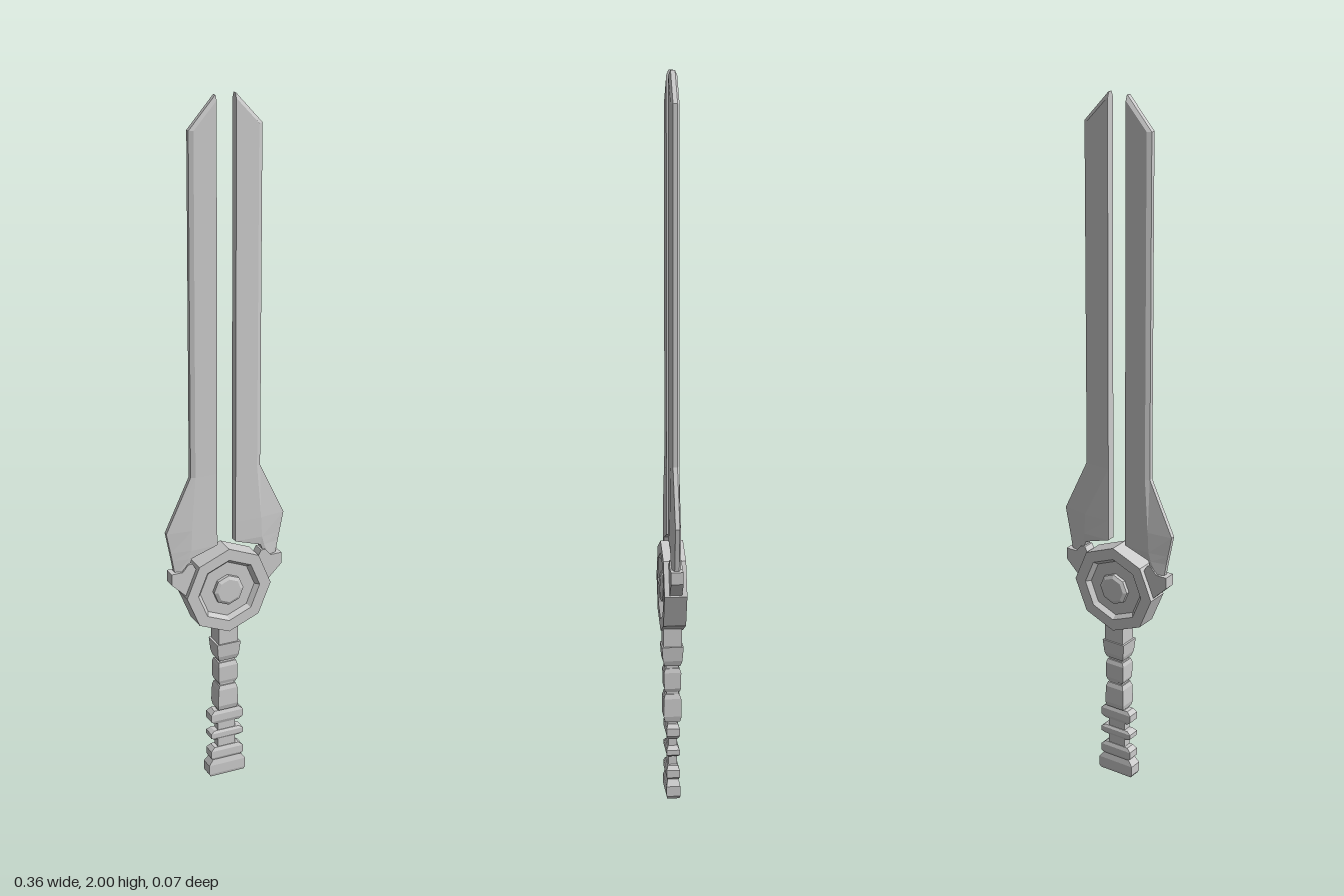
import * as THREE from 'three';

const material = new THREE.MeshStandardMaterial({ color: 0xcccccc, flatShading: true });

function part(parent, name, geometry) {
  const flat = geometry.index ? geometry.toNonIndexed() : geometry;
  flat.computeVertexNormals();
  const mesh = new THREE.Mesh(flat, material);
  mesh.name = name;
  parent.add(mesh);
  return mesh;
}

// Skin a stack of rings (each a list of [x, y, z], lowest first) and cap both ends.
function loft(rings) {
  const n = rings[0].length, last = rings.length - 1, out = [];
  const tri = (a, b, c) => out.push(...a, ...b, ...c);
  for (let i = 0; i < last; i++) {
    for (let j = 0; j < n; j++) {
      const k = (j + 1) % n;
      tri(rings[i][j], rings[i][k], rings[i + 1][k]);
      tri(rings[i][j], rings[i + 1][k], rings[i + 1][j]);
    }
  }
  for (let j = 1; j < n - 1; j++) {
    tri(rings[0][0], rings[0][j + 1], rings[0][j]);
    tri(rings[last][0], rings[last][j], rings[last][j + 1]);
  }
  const geometry = new THREE.BufferGeometry();
  geometry.setAttribute('position', new THREE.Float32BufferAttribute(out, 3));
  return geometry;
}

// Rectangular column from rows of [y, half width, half depth].
const column = rows => loft(rows.map(([y, w, d]) =>
  [[-w, y, d], [w, y, d], [w, y, -d], [-w, y, -d]]));

// Blade half from rows of [y, inner x, ridge x, outer x, inner z, ridge z, outer z].
const bladeHalf = rows => loft(rows.map(([y, xi, xm, xo, zi, zm, zo]) => [
  [xi, y, zi], [xm, y, zm], [xo, y, zo], [xo, y, -zo], [xm, y, -zm], [xi, y, -zi],
]));

export function createModel() {
  const sword = new THREE.Group();
  sword.name = 'sword';

  // Twin blades and the clips that hold them; each side is the other turned half round
  for (const [side, turn] of [['left', 0], ['right', Math.PI]]) {
    const half = new THREE.Group();
    half.name = side + 'Half';
    half.rotation.y = turn;
    sword.add(half);

    part(half, side + 'Blade', bladeHalf([
      [0.665, 0.122, 0.135, 0.153, 0.012, 0.012, 0.006],
      [0.71, 0.105, 0.115, 0.161, 0.012, 0.014, 0.006],
      [0.735, 0.028, 0.108, 0.166, 0.012, 0.015, 0.006],
      [0.795, 0.028, 0.105, 0.178, 0.012, 0.015, 0.006],
      [0.95, 0.028, 0.093, 0.105, 0.012, 0.012, 0.006],
      [1.915, 0.028, 0.093, 0.105, 0.012, 0.012, 0.006],
      [1.985, 0.028, 0.03, 0.043, 0.012, 0.012, 0.006],
      [2.0, 0.028, 0.029, 0.03, 0.006, 0.006, 0.006],
    ]));

    const clip = new THREE.Shape([
      [0.085, 0.60], [0.125, 0.60], [0.168, 0.642], [0.168, 0.675],
      [0.135, 0.675], [0.118, 0.695], [0.105, 0.695], [0.085, 0.66],
    ].map(p => new THREE.Vector2(...p)));
    const clipGeometry = new THREE.ExtrudeGeometry(clip, { depth: 0.034, bevelEnabled: false });
    part(half, side + 'Clip', clipGeometry.translate(0, 0, -0.017));
  }

  // Octagonal guard: rim, recess and raised hub, alike on front and back
  const face = [[0, 0.033], [0.035, 0.033], [0.045, 0.028], [0.045, 0.018],
    [0.083, 0.018], [0.094, 0.031], [0.128, 0.031]];
  const profile = [
    ...face.map(([r, z]) => new THREE.Vector2(r, -z)),
    ...face.map(([r, z]) => new THREE.Vector2(r, z)).reverse(),
  ];
  const guard = part(sword, 'guard', new THREE.LatheGeometry(profile, 8).rotateX(Math.PI / 2));
  guard.position.y = 0.597;

  // Neck and tapered grip blocks, joined by a slim core
  part(sword, 'neck', column([[0.425, 0.03, 0.026], [0.5, 0.03, 0.026]]));
  part(sword, 'gripCore', column([
    [0.04, 0.027, 0.012], [0.21, 0.027, 0.012], [0.22, 0.022, 0.016], [0.43, 0.022, 0.018],
  ]));
  const blocks = [
    [[0.375, 0.027, 0.022], [0.39, 0.032, 0.027], [0.43, 0.036, 0.03]],
    [[0.3, 0.025, 0.02], [0.31, 0.029, 0.023], [0.355, 0.029, 0.024], [0.367, 0.026, 0.02]],
    [[0.215, 0.028, 0.021], [0.23, 0.031, 0.025], [0.28, 0.029, 0.024], [0.293, 0.025, 0.02]],
  ];
  blocks.forEach((rows, i) => part(sword, 'gripBlock' + (i + 1), column(rows)));

  // Finger ribs on the lower grip
  [0.19, 0.132, 0.07].forEach((y, i) => {
    const h = i === 1 ? 0.014 : 0.021;
    part(sword, 'gripRib' + (i + 1), column([
      [y - h, 0.038, 0.014], [y - h * 0.5, 0.05, 0.018],
      [y + h * 0.5, 0.05, 0.018], [y + h, 0.038, 0.014],
    ]));
  });

  // Flared pommel
  part(sword, 'pommel', column([
    [0, 0.052, 0.017], [0.008, 0.057, 0.019], [0.036, 0.057, 0.019], [0.055, 0.042, 0.015],
  ]));

  return sword;
}
